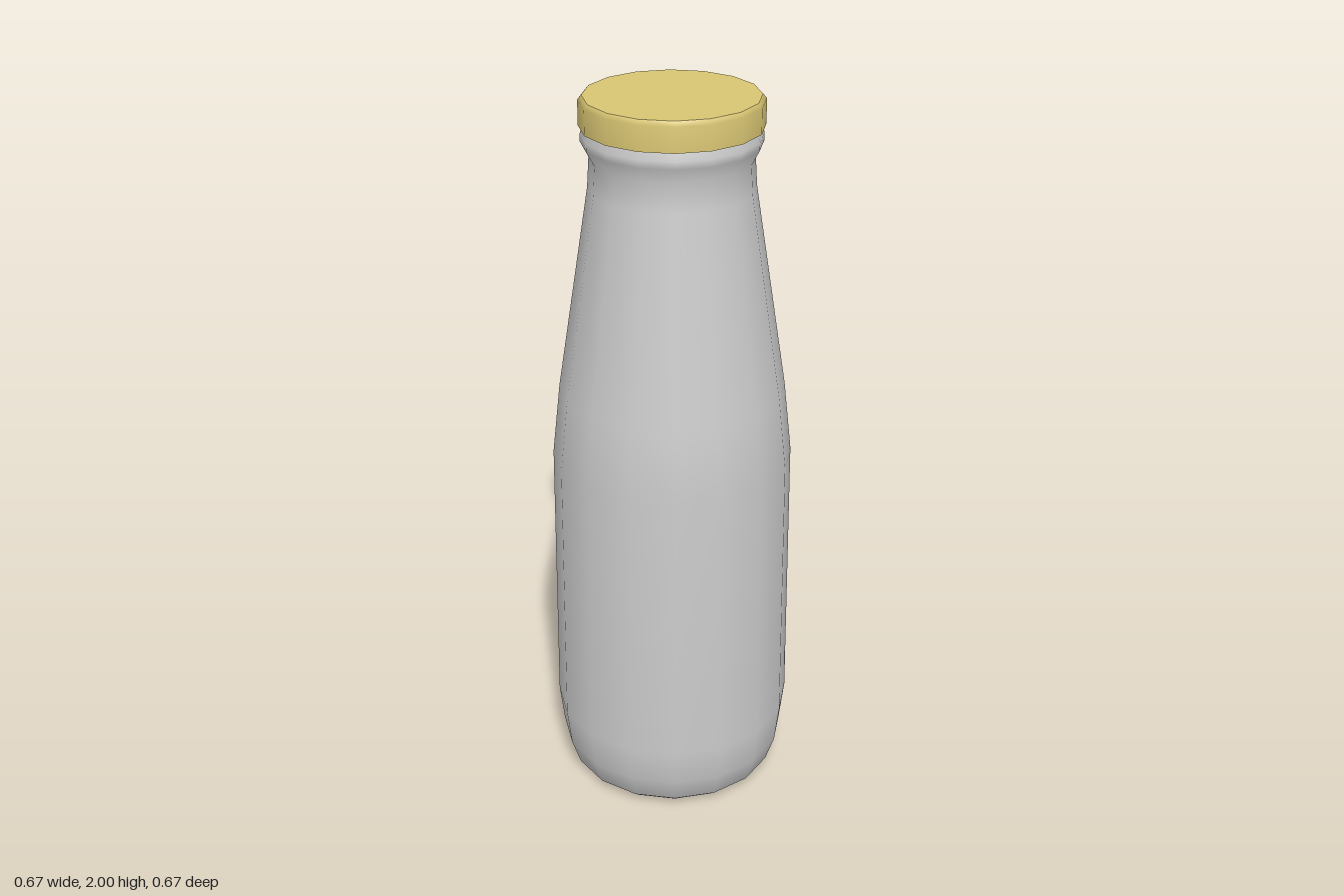
import * as THREE from 'three';

const SIDES = 16;

// Revolves a list of [radius, height] pairs around the y axis
function lathe(name, profile, material) {
  const points = profile.map(([r, y]) => new THREE.Vector2(r, y));
  const mesh = new THREE.Mesh(new THREE.LatheGeometry(points, SIDES), material);
  mesh.name = name;
  return mesh;
}

export function createModel() {
  const group = new THREE.Group();
  group.name = 'bottle';
  const glass = new THREE.MeshStandardMaterial({ color: 0xcccccc });
  const gold = new THREE.MeshStandardMaterial({ color: 0xd8c573 });

  // Body: rounded foot, slightly tapering wall, long shoulder, flared lip
  group.add(lathe('bottleBody', [
    [0.265, 0], [0.295, 0.025], [0.32, 0.1], [0.333, 0.21],
    [0.327, 1.0], [0.305, 1.2], [0.218, 1.76],
    [0.213, 1.84], [0.234, 1.88], [0.234, 1.9], [0.225, 1.93],
  ], glass));

  // Flat base, facing down
  const base = new THREE.Mesh(new THREE.CircleGeometry(0.265, SIDES), glass);
  base.rotation.x = Math.PI / 2;
  base.name = 'bottleBase';
  group.add(base);

  // Cap: side wall with a small bevel, flat top and flat underside
  group.add(lathe('capRim', [[0.238, 1.922], [0.238, 1.988], [0.228, 2.0]], gold));
  for (const [name, radius, y, tilt] of [['capTop', 0.228, 2.0, -1], ['capUnderside', 0.238, 1.922, 1]]) {
    const disc = new THREE.Mesh(new THREE.CircleGeometry(radius, SIDES), gold);
    disc.rotation.x = tilt * Math.PI / 2;
    disc.position.y = y;
    disc.name = name;
    group.add(disc);
  }
  return group;
}
